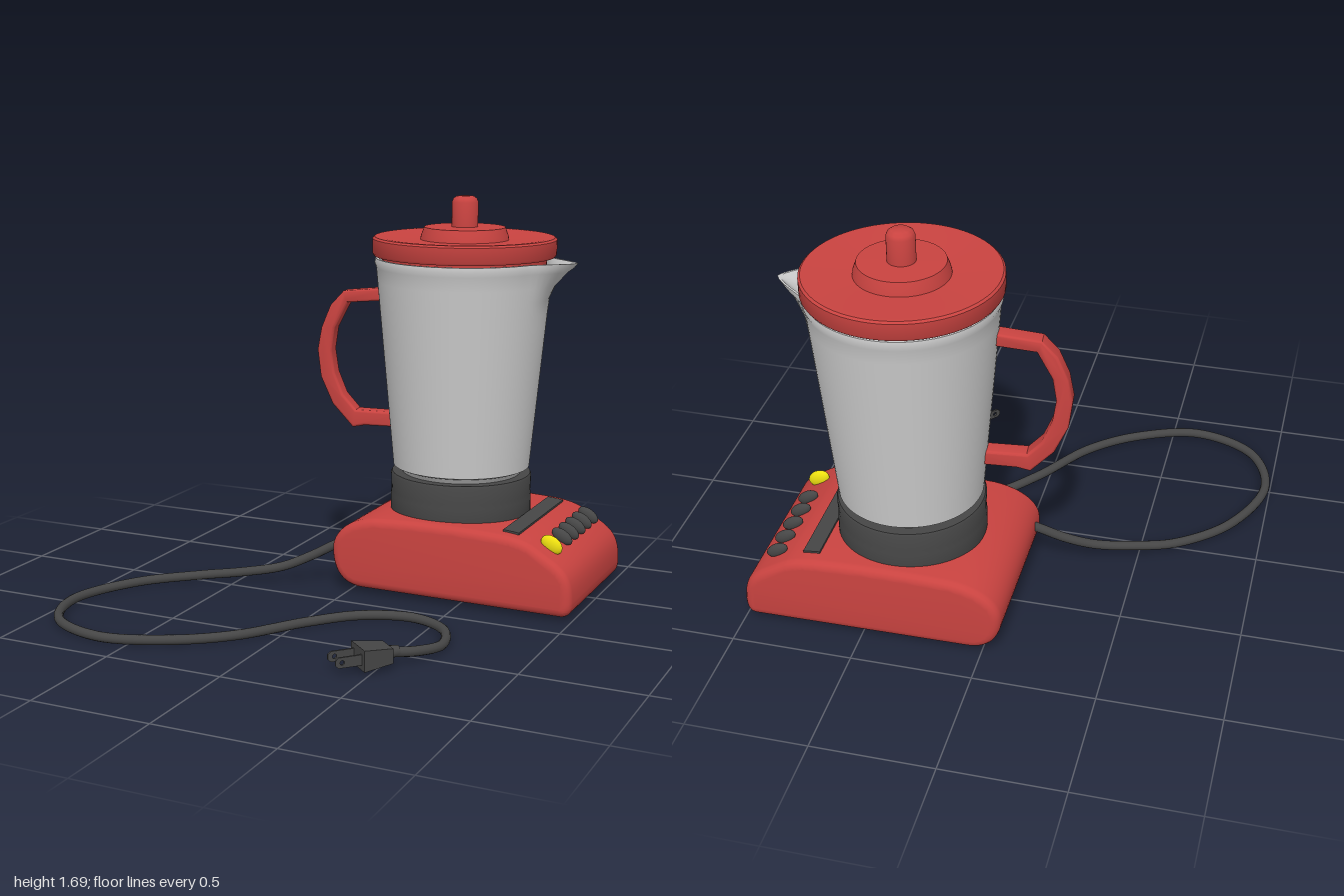
import * as THREE from 'three';
import { toCreasedNormals } from 'three/addons/utils/BufferGeometryUtils.js';

const material = (color) => new THREE.MeshStandardMaterial({ color });
const red = material(0xc94340);
const dark = material(0x464646);
const yellow = material(0xeee010);
const grey = material(0xcccccc);

const JAR_X = 0.375, JAR_Z = -0.5;
const v2 = (p) => new THREE.Vector2(...p);

function add(parent, name, geometry, mat, x = 0, y = 0, z = 0) {
  const mesh = new THREE.Mesh(geometry, mat);
  mesh.name = name;
  mesh.position.set(x, y, z);
  parent.add(mesh);
  return mesh;
}

// Turned part with crisp corners, seam at the -x side
function turned(points, segments = 64) {
  return new THREE.LatheGeometry(points.map(v2), segments, -Math.PI / 2);
}

// Jar wall with the rim pulled out into a pouring spout toward +x
function jarGeometry() {
  const outer = [], inner = [];
  for (let i = 0; i <= 14; i++) {
    const t = i / 14;
    outer.push([0.295 + 0.08 * t, 0.53 + 0.86 * t]);
    inner.unshift([0.272 + 0.086 * t, 0.56 + 0.83 * t]);
  }
  const geo = turned([[0, 0.525], [0.285, 0.525], ...outer, [0.382, 1.41],
    [0.378, 1.43], [0.367, 1.43], [0.36, 1.41], ...inner, [0, 0.56]], 96);
  const pos = geo.attributes.position;
  for (let i = 0; i < pos.count; i++) {
    const x = pos.getX(i), y = pos.getY(i), z = pos.getZ(i);
    const rise = THREE.MathUtils.clamp((y - 1.24) / 0.19, 0, 1);
    const side = Math.max(0, 1 - Math.abs(Math.atan2(z, x)) / 0.42);
    const push = 0.125 * Math.pow(rise, 1.7) * (0.5 * side + 0.5 * side * side * (3 - 2 * side));
    if (x > 0) pos.setX(i, x + push);
  }
  return toCreasedNormals(geo, 0.7);
}

// Flat outline extruded along z, centred, with rounded edges kept inside the outline
function slab(shape, width, bevel, curveSegments = 12) {
  const geo = new THREE.ExtrudeGeometry(shape, {
    depth: width - 2 * bevel, bevelThickness: bevel, bevelSize: bevel,
    bevelOffset: -bevel, bevelSegments: 4, curveSegments,
  });
  geo.translate(0, 0, bevel - width / 2);
  return toCreasedNormals(geo, 0.7);
}

function baseGeometry() {
  const shape = new THREE.Shape();
  shape.moveTo(0.06, 0.02);
  shape.lineTo(0.95, 0.015);
  shape.quadraticCurveTo(1, 0.015, 1, 0.08);
  shape.bezierCurveTo(1, 0.18, 0.97, 0.21, 0.92, 0.245);
  shape.lineTo(0.82, 0.305);
  shape.quadraticCurveTo(0.77, 0.33, 0.68, 0.335);
  shape.quadraticCurveTo(0.38, 0.352, 0.12, 0.335);
  shape.bezierCurveTo(0, 0.32, -0.08, 0.26, -0.08, 0.18);
  shape.bezierCurveTo(-0.08, 0.08, -0.03, 0.02, 0.06, 0.02);
  return slab(shape, 0.73, 0.035);
}

function handleGeometry() {
  return slab(new THREE.Shape([
    [0.02, 1.285], [-0.16, 1.265], [-0.22, 1.2], [-0.262, 1.1], [-0.28, 1], [-0.265, 0.88],
    [-0.21, 0.76], [-0.115, 0.66], [-0.06, 0.672], [0.09, 0.675],
    [0.09, 0.74], [-0.1, 0.74], [-0.16, 0.805], [-0.2, 0.9], [-0.215, 1], [-0.2, 1.1],
    [-0.14, 1.215], [0.02, 1.23],
  ].map(v2)), 0.075, 0.012);
}

function buildPlug() {
  const plug = new THREE.Group();
  plug.name = 'plug';
  plug.position.set(0.48, 0.055, 0.672);
  plug.rotation.y = -0.736;
  // body narrows toward the cord
  const body = new THREE.BoxGeometry(0.13, 0.085, 0.125);
  const pos = body.attributes.position;
  for (let i = 0; i < pos.count; i++) {
    if (pos.getZ(i) < 0) pos.setXYZ(i, pos.getX(i) * 0.75, pos.getY(i) * 0.7, pos.getZ(i));
  }
  body.computeVertexNormals();
  add(plug, 'plugBody', body, dark);
  const sleeve = add(plug, 'plugSleeve', new THREE.CylinderGeometry(0.026, 0.022, 0.05, 16), dark, 0, 0, -0.08);
  sleeve.rotation.x = Math.PI / 2;
  // blades with a round hole near the tip
  const blade = new THREE.Shape([[0, -0.021], [0.1, -0.021], [0.112, -0.01], [0.112, 0.01],
    [0.1, 0.021], [0, 0.021]].map(v2));
  blade.holes.push(new THREE.Path().absarc(0.085, 0, 0.009, 0, Math.PI * 2, true));
  const bladeGeo = new THREE.ExtrudeGeometry(blade, { depth: 0.008, bevelEnabled: false });
  bladeGeo.translate(0, 0, -0.004);
  bladeGeo.rotateY(-Math.PI / 2);
  for (const x of [-0.038, 0.038]) add(plug, 'prong', bladeGeo, dark, x, 0, 0.058);
  return plug;
}

export function createModel() {
  const model = new THREE.Group();
  model.name = 'blender';

  // Motor base
  add(model, 'base', baseGeometry(), red, 0, 0, -0.495);

  // Underside louvres
  for (let i = 0; i < 7; i++) {
    const louvre = add(model, 'vent', new THREE.SphereGeometry(1, 20, 10), red, 0.62, 0.02, -0.25 - i * 0.075);
    louvre.scale.set(0.14, 0.015, 0.022);
  }

  // Label strip and buttons on the sloping edge
  const strip = add(model, 'labelStrip', new THREE.BoxGeometry(0.07, 0.012, 0.59), dark, 0.715, 0.334, -0.495);
  strip.rotation.z = -0.1;
  const buttonGeo = new THREE.SphereGeometry(1, 24, 14);
  [-0.245, -0.385, -0.477, -0.57, -0.662, -0.755].forEach((z, i) => {
    const button = add(model, i ? 'speedButton' : 'pulseButton', buttonGeo, i ? dark : yellow, 0.878, 0.29, z);
    button.scale.set(0.05, i ? 0.028 : 0.036, 0.02);
    button.rotation.z = -0.55;
  });

  // Collar and neck under the jar
  add(model, 'collar', toCreasedNormals(turned([[0, 0.31], [0.3, 0.31], [0.305, 0.33], [0.305, 0.4],
    [0.302, 0.42], [0.305, 0.49], [0.3, 0.5], [0, 0.5]]), 0.6), dark, JAR_X, 0, JAR_Z);
  add(model, 'jarNeck', toCreasedNormals(turned([[0, 0.49], [0.25, 0.49], [0.275, 0.527], [0, 0.527]]), 0.6),
    grey, JAR_X, 0, JAR_Z);

  // Jar with spout
  add(model, 'jar', jarGeometry(), grey, JAR_X, 0, JAR_Z);

  // Lid with plug underneath, raised cap and knob
  add(model, 'lid', toCreasedNormals(turned([[0, 1.36], [0.345, 1.36], [0.352, 1.44], [0.385, 1.44],
    [0.391, 1.45], [0.391, 1.512], [0.382, 1.52], [0.36, 1.52], [0.21, 1.508], [0, 1.508]]), 0.6),
    red, JAR_X, 0, JAR_Z);
  add(model, 'lidCap', toCreasedNormals(turned([[0, 1.5], [0.19, 1.5], [0.185, 1.525], [0.172, 1.56], [0, 1.562]]), 0.6),
    red, JAR_X, 0, JAR_Z);
  add(model, 'knob', toCreasedNormals(turned([[0, 1.55], [0.056, 1.55], [0.056, 1.665], [0.05, 1.68],
    [0.036, 1.69], [0, 1.692]], 32), 0.7), red, JAR_X, 0, JAR_Z);

  // Handle, turned slightly about the jar axis
  const handle = new THREE.Group();
  handle.name = 'handle';
  handle.position.set(JAR_X, 0, JAR_Z);
  handle.rotation.y = 0.1;
  add(handle, 'handleGrip', handleGeometry(), red, -JAR_X, 0, 0);
  model.add(handle);

  // Power cord lying on the table
  const cordPath = new THREE.CatmullRomCurve3([
    [-0.04, 0.2, -0.235], [-0.09, 0.18, -0.225], [-0.2, 0.12, -0.19], [-0.32, 0.068, -0.14],
    [-0.48, 0.04, -0.075], [-0.65, 0.025, 0.005], [-0.86, 0.02, 0.2], [-0.977, 0.02, 0.51],
    [-0.88, 0.02, 0.76], [-0.62, 0.02, 0.865], [-0.35, 0.02, 0.78], [-0.14, 0.02, 0.62],
    [0.05, 0.02, 0.35], [0.21, 0.02, 0.185], [0.41, 0.02, 0.122], [0.575, 0.02, 0.2],
    [0.643, 0.022, 0.38], [0.6, 0.04, 0.53], [0.535, 0.054, 0.615],
  ].map((p) => new THREE.Vector3(...p)));
  add(model, 'cord', new THREE.TubeGeometry(cordPath, 180, 0.02, 12), dark);
  model.add(buildPlug());

  return model;
}
